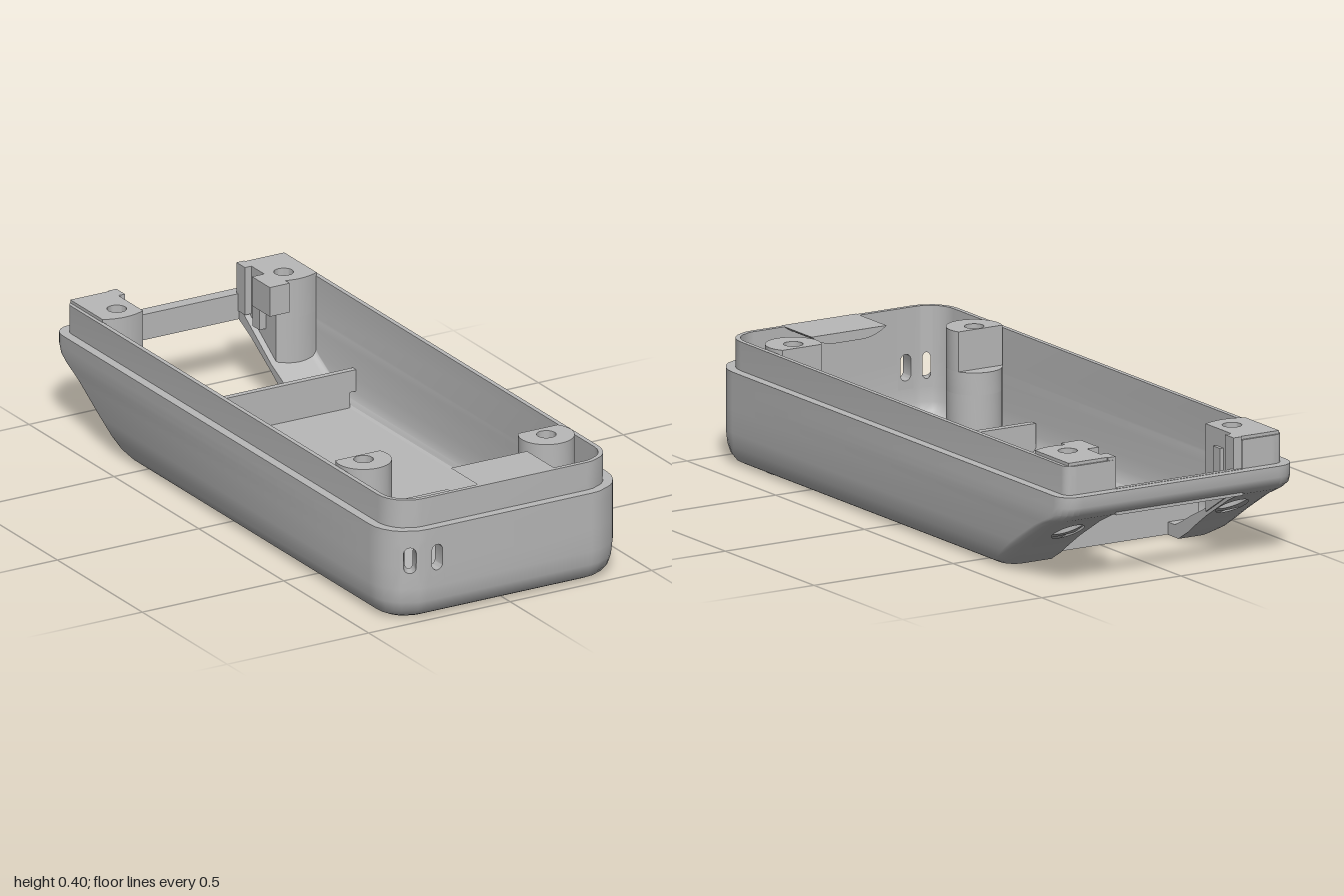
import * as THREE from 'three';
import { toCreasedNormals } from 'three/addons/utils/BufferGeometryUtils.js';

const grey = new THREE.MeshStandardMaterial({ color: 0xb8b8b8, side: THREE.DoubleSide });
grey.name = 'grey plastic';
const V = (x, y, z) => new THREE.Vector3(x, y, z);
const V2 = (x, y) => new THREE.Vector2(x, y);

// Opening in the sloped back
const OX0 = -0.24, OX1 = 0.215, OZ = -0.545;

// Rows of the wall: y, half width, front z, back z, back corner radius
const outer = [
  [0, 0.37, 0.945, -0.61, 0.05], [0.01, 0.39, 0.965, -0.625, 0.06], [0.03, 0.405, 0.985, -0.66, 0.06],
  [0.06, 0.415, 0.995, -0.7, 0.06], [0.105, 0.42, 1, -0.765, 0.06], [0.178, 0.42, 1, -0.885, 0.06],
  [0.2, 0.42, 1, -0.93, 0.06], [0.213, 0.42, 1, -0.958, 0.06], [0.235, 0.42, 1, -0.99, 0.06],
  [0.26, 0.42, 1, -1, 0.06], [0.295, 0.42, 1, -1, 0.06]];
const lip = [[0.295, 0.39, 0.97, -0.967, 0.03], [0.385, 0.39, 0.97, -0.967, 0.03], [0.385, 0.375, 0.955, -0.955, 0.02]];
const inner = [
  [0.25, 0.375, 0.955, -0.954, 0.02], [0.24, 0.375, 0.955, -0.93, 0.02], [0.21, 0.375, 0.955, -0.885, 0.02],
  [0.13, 0.375, 0.955, -0.765, 0.02], [0.085, 0.373, 0.952, -0.675, 0.02], [0.06, 0.368, 0.945, -0.63, 0.02],
  [0.045, 0.36, 0.93, -0.6, 0.02], [0.04, 0.35, 0.92, -0.59, 0.02]];

// One outline of the wall, starting at the front and running towards +x
const frontAngles = [0, 13, 38, 50, 63, 76, 90].map(a => a * Math.PI / 180);
const backAngles = [0, 18, 36, 54, 72, 90].map(a => a * Math.PI / 180);
function loop([y, w, zf, zb, r]) {
  const front = frontAngles.map(a => [0.29 + (w - 0.29) * Math.sin(a), 0.87 + (zf - 0.87) * Math.cos(a)]);
  const back = backAngles.map(a => [w - r + r * Math.cos(a), zb + r - r * Math.sin(a)]);
  const m = Math.min(0.35, w - r - 0.002);
  const flat = [m, 0.24, OX1, OX0, -m].map(x => [x, zb]);
  const mirror = list => list.map(([x, z]) => [-x, z]).reverse();
  return [[-0.285, zf], [-0.23, zf], ...front, ...back, ...flat, ...mirror(back), ...mirror(front)]
    .map(([x, z]) => V(x, y, z));
}
const BACK = 2 + frontAngles.length + backAngles.length;   // first column of the flat back
const COUNT = loop(outer[0]).length;
const SLOT = COUNT - 3;                                    // corner column that holds a slot

const soup = () => {
  const p = [];
  const tri = (...v) => v.forEach(q => p.push(q.x, q.y, q.z));
  const quad = (a, b, c, d) => { tri(a, b, c); tri(a, c, d); };
  // Four-cornered panel with a hole given in panel coordinates; returns the hole's rim
  const panel = (a, b, c, d, hole) => {
    const s = new THREE.Shape([V2(0, 0), V2(1, 0), V2(1, 1), V2(0, 1)]);
    s.holes.push(new THREE.Path(hole));
    const at = (u, v) => a.clone().lerp(b, u).lerp(d.clone().lerp(c, u), v);
    const g = new THREE.ShapeGeometry(s), q = g.attributes.position;
    for (let i = 0; i < g.index.count; i += 3)
      tri(...[0, 1, 2].map(k => { const j = g.index.getX(i + k); return at(q.getX(j), q.getY(j)); }));
    return hole.map(h => at(h.x, h.y));
  };
  const geometry = () => {
    const g = new THREE.BufferGeometry();
    g.setAttribute('position', new THREE.Float32BufferAttribute(p, 3));
    return toCreasedNormals(g, 0.6);
  };
  return { quad, panel, geometry };
};

function wallGeometry() {
  const s = soup();
  const rows = [...outer, ...lip, ...inner].map(loop), last = rows.length - 1;
  const topIn = outer.length + lip.length - 1, inLow = last - 4;
  const slots = [0, SLOT];
  for (let r = 0; r < last; r++) for (let c = 0; c < COUNT; c++) {
    const opening = c === BACK + 2 && (r < 7 || r >= outer.length);
    const screw = (c === BACK || c === BACK + 3) && (r === 4 || r === inLow - 1);
    const slot = slots.includes(c) && ((r >= 4 && r < 9) || (r >= topIn && r < inLow));
    if (opening || screw || slot) continue;
    const n = (c + 1) % COUNT;
    s.quad(rows[r][c], rows[r][n], rows[r + 1][n], rows[r + 1][c]);
  }
  // Screw recesses in the slope
  const ring = Array.from({ length: 28 }, (_, i) => i / 28 * Math.PI * 2);
  const round = ring.map(t => V2(0.5 + 0.4545 * Math.cos(t), 0.5 + 0.4167 * Math.sin(t)));
  for (const c of [BACK, BACK + 3]) s.panel(rows[4][c], rows[4][c + 1], rows[5][c + 1], rows[5][c], round);
  // Slots through the front wall
  const capsule = ring.map(t => V2(0.5 + 0.345 * Math.cos(t), 0.6 + 0.123 * Math.sin(t) + (Math.sin(t) >= 0 ? 0.145 : -0.145)));
  const capsuleIn = capsule.map(q => V2(q.x, (0.155 * q.y - 0.025) / 0.255));
  for (const c of slots) {
    const a = s.panel(rows[4][c], rows[4][c + 1], rows[9][c + 1], rows[9][c], capsule);
    const b = s.panel(rows[inLow][c], rows[inLow][c + 1], rows[topIn][c + 1], rows[topIn][c], capsuleIn);
    a.forEach((q, i) => { const j = (i + 1) % a.length; s.quad(q, a[j], b[j], b[i]); });
  }
  // Side faces of the back opening
  for (const c of [BACK + 2, BACK + 3]) for (let k = 0; k < 7; k++)
    s.quad(rows[k][c], rows[k + 1][c], rows[last - k - 1][c], rows[last - k][c]);
  // Side faces where the opening cuts into the floor
  for (const x of [OX0, OX1])
    s.quad(V(x, 0, OZ), V(x, 0, -0.61), V(x, 0.04, -0.59), V(x, 0.04, OZ));
  return s.geometry();
}

const circle = (x, z, r) => new THREE.Path().absarc(x, z, r, 0, Math.PI * 2, true);
const floorBosses = [[-0.29, 0.62], [0.29, 0.73]];

// Flat floor sheet with the notch and the screw holes
function floorGeometry(row) {
  const pts = loop(row).map(q => V2(q.x, q.z));
  pts.splice(BACK + 3, 0, V2(OX1, OZ), V2(OX0, OZ));
  const s = new THREE.Shape(pts);
  for (const [x, z] of floorBosses) s.holes.push(circle(x, z, 0.055));
  return new THREE.ShapeGeometry(s, 16).rotateX(Math.PI / 2).translate(0, row[0], 0);
}

// Upright prism of a plan drawn in x and z
function prism(shape, y0, y1, hole) {
  if (hole) shape.holes.push(circle(...hole));
  const g = new THREE.ExtrudeGeometry(shape, { depth: y1 - y0, bevelEnabled: false, curveSegments: 16 });
  return toCreasedNormals(g.rotateX(Math.PI / 2).translate(0, y1, 0), 0.6);
}

export function createModel() {
  const model = new THREE.Group();
  const add = (name, geometry, parent = model) => {
    const m = new THREE.Mesh(geometry, grey);
    m.name = name;
    parent.add(m);
  };
  const box = (name, x0, x1, y0, y1, z0, z1) => add(name,
    new THREE.BoxGeometry(x1 - x0, y1 - y0, z1 - z0).translate((x0 + x1) / 2, (y0 + y1) / 2, (z0 + z1) / 2));

  add('wall', wallGeometry());
  add('floorUnderside', floorGeometry(outer[0]));
  add('floorInside', floorGeometry(inner[inner.length - 1]));

  // Ribs across the floor and the sill behind the opening
  box('openingRib', -0.374, 0.374, 0.09, 0.16, -0.55, -0.53);
  box('openingRibFoot', -0.352, 0.352, 0.04, 0.09, -0.55, -0.53);
  box('openingEdge', OX0, OX1, 0.001, 0.04, -0.55, -0.53);
  box('shortRib', -0.365, 0.145, 0.035, 0.13, 0.39, 0.415);
  box('backSill', OX0, OX1, 0.213, 0.296, -0.972, -0.955);

  // Round screw posts near the front, flattened at the top
  floorBosses.forEach(([x, z], i) => {
    const post = new THREE.Group();
    post.name = 'frontPost';
    model.add(post);
    const disc = () => new THREE.Shape().absarc(x, z, 0.086, 0, Math.PI * 2);
    const cut = Math.asin((i ? -0.05 : -0.035) / 0.086);
    const flat = new THREE.Shape().absarc(x, z, 0.086, cut, Math.PI - cut);
    add('postFoot', prism(disc(), 0.001, 0.2, [x, z, 0.055]), post);
    add('postBody', prism(disc(), 0.2, 0.27, [x, z, 0.03]), post);
    add('postTop', prism(flat, 0.27, 0.395, [x, z, 0.03]), post);
  });

  // Corner screw blocks above the slope
  for (const s of [-1, 1]) {
    const block = new THREE.Group();
    block.name = 'backBlock';
    model.add(block);
    const plan = () => {
      const q = new THREE.Shape();
      q.moveTo(s * 0.378, -0.96);
      q.lineTo(s * 0.378, -0.77);
      q.quadraticCurveTo(s * 0.31, -0.735, s * 0.235, -0.77);
      q.lineTo(s * 0.235, -0.96);
      return q;
    };
    const low = prism(plan(), 0, 0.27, [s * 0.295, -0.825, 0.05]);
    const p = low.attributes.position;
    for (let i = 0; i < p.count; i++)
      if (p.getY(i) < 0.01) p.setY(i, 0.117 + (-0.765 - p.getZ(i)) * 0.608);
    add('blockFoot', low, block);
    add('blockTop', prism(plan(), 0.27, 0.395, [s * 0.295, -0.825, 0.03]), block);
    const x0 = s < 0 ? -0.24 : 0.212, x1 = s < 0 ? -0.212 : 0.24;
    box('blockRib', x0, x1, 0.24, 0.395, -0.965, -0.915);
    box('blockClip', x0, x1 - (s < 0 ? 0.012 : 0), 0.22, 0.34, -0.87, -0.83);
  }
  box('latch', 0.192, 0.262, 0.3, 0.395, -0.84, -0.735);

  // Tab at the front edge with a curved underside
  const tab = new THREE.Shape();
  tab.moveTo(-0.09, 0.386);
  tab.quadraticCurveTo(-0.05, 0.355, 0, 0.355);
  tab.lineTo(0.1, 0.355);
  tab.quadraticCurveTo(0.14, 0.355, 0.18, 0.386);
  add('frontTab', new THREE.ExtrudeGeometry(tab, { depth: 0.172, bevelEnabled: false }).translate(0, 0, 0.8));

  return model;
}
